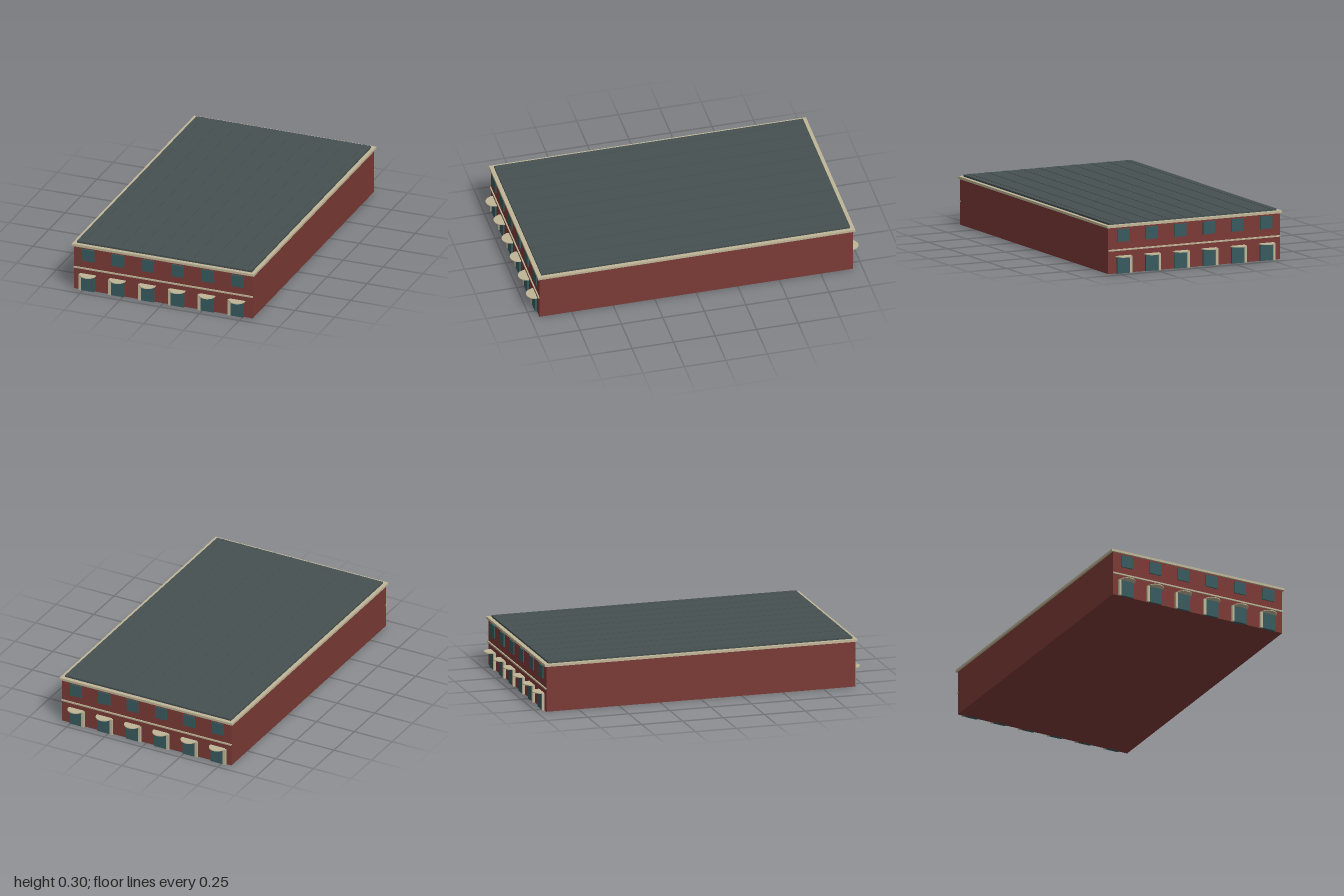
import * as THREE from 'three';

const mat = (color) => new THREE.MeshStandardMaterial({ color, flatShading: true });

export function createModel() {
  const model = new THREE.Group();
  const brick = mat(0x7a3a35), stone = mat(0xbfb597), glass = mat(0x375a5e), slate = mat(0x465052);

  // Box given by its centre x, z, its base height and its size
  function box(name, material, w, h, d, x, y, z, parent = model) {
    const mesh = new THREE.Mesh(new THREE.BoxGeometry(w, h, d), material);
    mesh.name = name;
    mesh.position.set(x, y + h / 2, z);
    parent.add(mesh);
    return mesh;
  }

  // Main volume, cornice and roof
  box('walls', brick, 1.124, 0.274, 1.89, 0, 0, 0);
  box('cornice', stone, 1.146, 0.014, 1.91, 0, 0.273, 0);
  box('roof', slate, 1.1, 0.011, 1.86, 0, 0.287, 0);

  // Raised roof seams
  for (let i = 0; i < 10; i++) {
    box('roofSeam', slate, 0.004, 0.003, 1.86, (i - 4.5) * 0.1128, 0.297, 0);
  }

  // Both end facades share the same layout, reflected in z
  for (const side of [1, -1]) {
    const facade = new THREE.Group();
    facade.name = side > 0 ? 'frontFacade' : 'backFacade';
    model.add(facade);
    box('stringCourse', stone, 1.124, 0.009, 0.014, 0, 0.134, side * 0.945, facade);

    for (let i = 0; i < 6; i++) {
      const x = -0.471 + i * 0.1876;
      box('window', glass, 0.077, 0.075, 0.014, x, 0.187, side * 0.945, facade);
      box('door', glass, 0.081, 0.1, 0.022, x, 0, side * 0.945, facade);
      box('doorPost', stone, 0.016, 0.1, 0.018, x - 0.049, 0, side * 0.951, facade);

      // Semicircular canopy over the door
      const start = side > 0 ? -Math.PI / 2 : Math.PI / 2;
      const canopy = new THREE.Mesh(
        new THREE.CylinderGeometry(0.049, 0.049, 0.005, 24, 1, false, start, Math.PI), stone);
      canopy.name = 'doorCanopy';
      canopy.position.set(x, 0.1015, side * 0.951);
      facade.add(canopy);
      box('canopyBack', stone, 0.098, 0.005, 0.01, x, 0.099, side * 0.947, facade);
    }
  }
  return model;
}
